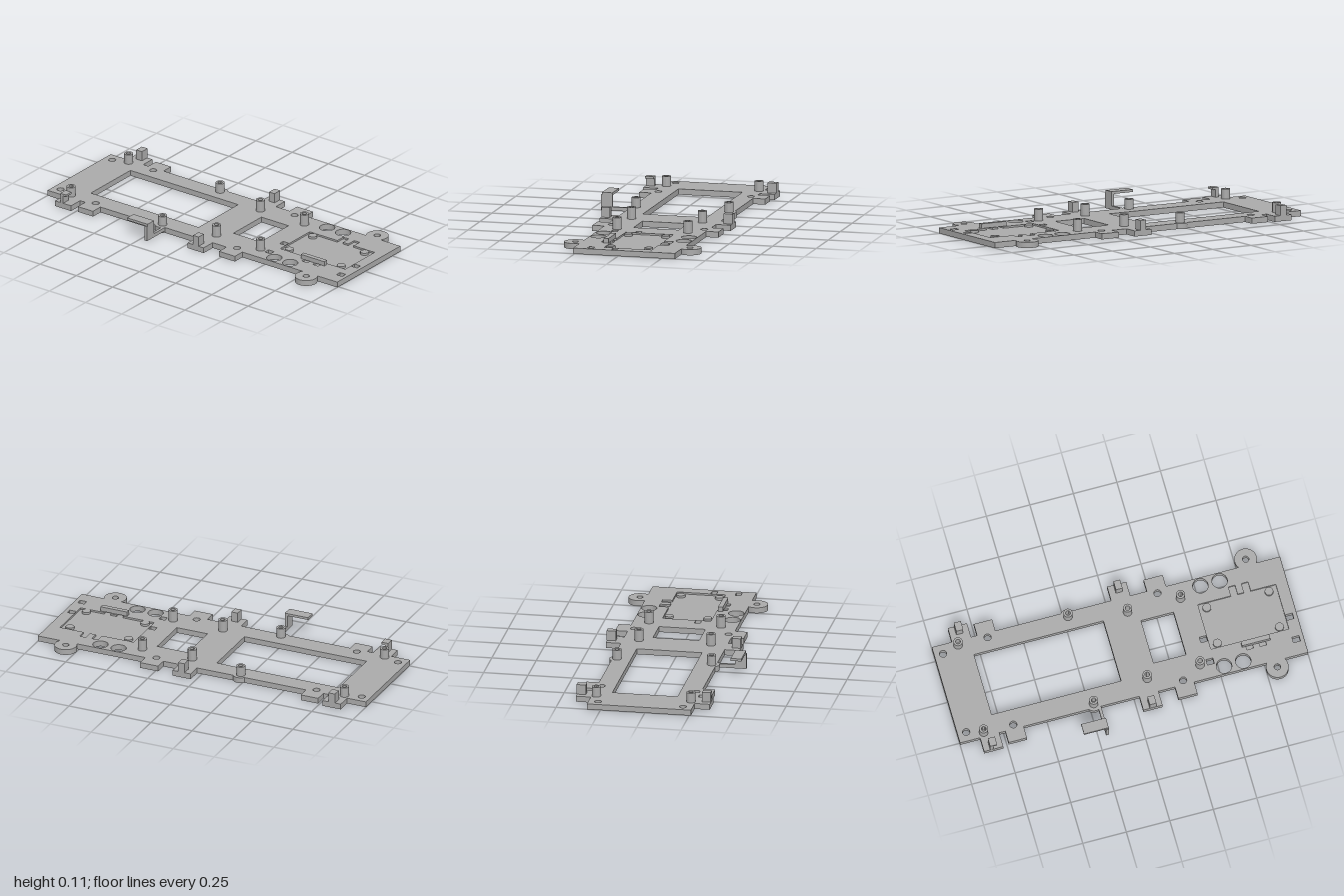
import * as THREE from 'three';
import { toCreasedNormals } from 'three/addons/utils/BufferGeometryUtils.js';

const MID = -0.033;   // z of the plate's lengthwise axis
const HALF = 0.2925;  // half depth of the plate
const TOP = 0.032;    // plate thickness
const FLOOR = 0.022;  // bottom of the shallow recess

// Extrude a plan shape (drawn with y = -z) upwards from y0 to y1
function slab(shape, y0, y1) {
  const g = new THREE.ExtrudeGeometry(shape, { depth: y1 - y0, bevelEnabled: false, curveSegments: 24 });
  g.rotateX(-Math.PI / 2);
  g.translate(0, y0, 0);
  return toCreasedNormals(g, 0.6);
}

function circlePath(x, z, r) {
  return new THREE.Path().absarc(x, -z, r, 0, Math.PI * 2, true);
}

function rectPath(x0, x1, z0, z1) {
  return new THREE.Path([[x0, z0], [x1, z0], [x1, z1], [x0, z1]].map(([x, z]) => new THREE.Vector2(x, -z)));
}

// One long edge of the plate, as [x, distance from the axis]
function edgePoints() {
  const pts = [[-1, HALF]];
  const tab = (x0, x1, h) => pts.push([x0, HALF], [x0, h], [x1, h], [x1, HALF]);
  const ear = (x, h, r) => {
    const a = Math.asin((HALF - h) / r);
    for (let i = 0; i <= 24; i++) {
      const t = Math.PI - a + (2 * a - Math.PI) * i / 24;
      pts.push([x + r * Math.cos(t), h + r * Math.sin(t)]);
    }
  };
  tab(-0.885, -0.775, 0.377);
  tab(-0.74, -0.635, 0.362);
  ear(-0.225, 0.2665, 0.043);
  tab(0.03, 0.14, 0.377);
  tab(0.235, 0.345, 0.362);
  ear(0.813, 0.329, 0.063);
  pts.push([1, HALF]);
  return pts;
}

// Full plate outline with all through openings
function plateShape() {
  const e = edgePoints();
  const front = e.map(([x, h]) => new THREE.Vector2(x, -MID - h));
  const back = e.map(([x, h]) => new THREE.Vector2(x, -MID + h)).reverse();
  const shape = new THREE.Shape([...front, ...back]);
  shape.holes.push(rectPath(-0.787, -0.043, -0.222, 0.145), rectPath(0.158, 0.345, -0.168, 0.092));
  for (const s of [-1, 1]) {
    const hole = (x, h, r) => shape.holes.push(circlePath(x, MID + s * h, r));
    hole(-0.95, 0.239, 0.02);
    hole(-0.687, 0.2665, 0.02);
    hole(0.289, 0.2665, 0.02);
    hole(0.53, 0.245, 0.043);
    hole(0.64, 0.245, 0.043);
    hole(0.813, 0.329, 0.018);
  }
  for (const z of [0.013, 0.15]) {
    shape.holes.push(rectPath(0.443, 0.482, z, z + 0.033), rectPath(0.937, 0.977, z, z + 0.033));
  }
  return shape;
}

// Recess outline: a rectangle with two finger slots at front and back
function recessPath() {
  const z0 = -0.175, z1 = 0.098, s0 = -0.23, s1 = 0.155;
  const slots = [[0.677, 0.715], [0.752, 0.79]];
  const pts = [[0.486, z0]];
  for (const [a, b] of slots) pts.push([a, z0], [a, s0], [b, s0], [b, z0]);
  pts.push([0.934, z0], [0.934, z1]);
  for (const [a, b] of [...slots].reverse()) pts.push([b, z1], [b, s1], [a, s1], [a, z1]);
  pts.push([0.486, z1]);
  return new THREE.Path(pts.map(([x, z]) => new THREE.Vector2(x, -z)));
}

export function createModel() {
  const model = new THREE.Group();
  model.name = 'mountingPlate';
  const grey = new THREE.MeshStandardMaterial({ color: 0xaaaaaa });
  grey.name = 'plastic grey';

  const add = (name, geometry) => {
    const mesh = new THREE.Mesh(geometry, grey);
    mesh.name = name;
    model.add(mesh);
  };
  const box = (name, x0, x1, y0, y1, z0, z1) => {
    const g = new THREE.BoxGeometry(x1 - x0, y1 - y0, z1 - z0);
    g.translate((x0 + x1) / 2, (y0 + y1) / 2, (z0 + z1) / 2);
    add(name, g);
  };

  // Base plate in two layers, the upper one cut by the recess
  add('plateBase', slab(plateShape(), 0, FLOOR));
  const upper = plateShape();
  upper.holes.push(recessPath());
  add('plateTop', slab(upper, FLOOR, TOP));

  // Hollow screw posts
  const post = (x, z, height) => {
    const ring = new THREE.Shape().absarc(x, -z, 0.025, 0, Math.PI * 2, false);
    ring.holes.push(circlePath(x, z, 0.013));
    add('screwPost', slab(ring, TOP, height));
  };
  for (const s of [-1, 1]) {
    for (const x of [-0.857, -0.225]) post(x, MID + s * 0.2665, 0.088);
    for (const x of [0.1, 0.404]) post(x, MID + s * 0.203, 0.098);
  }

  // Stop blocks on the outer tabs
  box('stopBlock', -0.85, -0.81, TOP, 0.088, -0.412, -0.36);
  box('stopBlock', 0.067, 0.105, TOP, 0.088, -0.412, -0.36);
  box('stopBlock', 0.067, 0.105, TOP, 0.088, 0.294, 0.347 - 0.004);
  box('hookStem', -0.85, -0.83, TOP, 0.076, 0.294, 0.343);
  box('hookLip', -0.85, -0.81, 0.076, 0.088, 0.294, 0.343);

  // Bent side arm
  box('armStrip', -0.207, -0.19, 0.011, TOP, 0.25, 0.36);
  box('armUpright', -0.207, -0.19, 0.011, 0.098, 0.36, 0.425);
  box('armPad', -0.332, -0.19, 0.098, 0.112, 0.36, 0.42);

  // Recess pads and retaining bar
  for (const x of [0.53, 0.887]) {
    for (const z of [-0.145, 0.072]) {
      const g = new THREE.CylinderGeometry(0.024, 0.024, 0.035 - FLOOR, 24);
      g.translate(x, (0.035 + FLOOR) / 2, z);
      add('recessPad', g);
    }
  }
  box('retainingBar', 0.655, 0.817, TOP, 0.058, 0.107, 0.134);

  return model;
}
